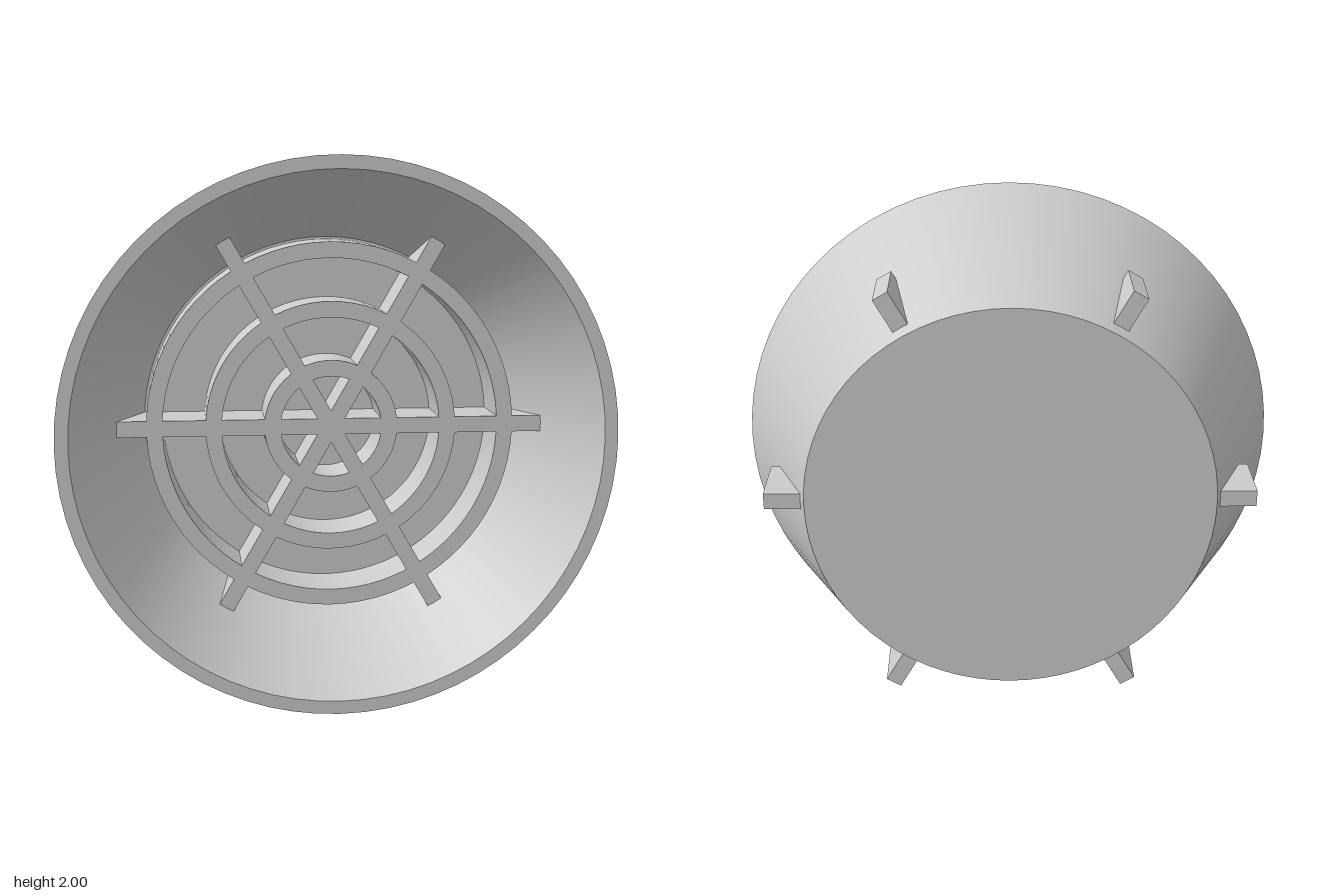
import * as THREE from 'three';
import { toCreasedNormals } from 'three/addons/utils/BufferGeometryUtils.js';

const HALF_DEPTH = 0.313; // bowl runs from -z (closed) to +z (open)
const FLOOR = -0.272;     // inside floor, where the grille stands
const GRILLE_FRONT = -0.04;
const HALF_BAR = 0.03;    // half the spoke width
const STEP = Math.PI / 3; // six spokes

// Points along a circle of radius r between two spokes, clear of their sides
function arcPoints(r, spoke, segments) {
  const inset = Math.asin(HALF_BAR / r);
  const from = spoke * STEP + inset, to = (spoke + 1) * STEP - inset;
  const points = [];
  for (let i = 0; i <= segments; i++) {
    const a = from + (to - from) * i / segments;
    points.push(new THREE.Vector2(r * Math.cos(a), r * Math.sin(a)));
  }
  return points;
}

// Tapered bowl with a flat floor, open to the front
function bowlGeometry() {
  const profile = [
    [0, -HALF_DEPTH], [0.732, -HALF_DEPTH], [1, HALF_DEPTH],
    [0.952, HALF_DEPTH], [0.7, FLOOR], [0, FLOOR],
  ].map(([r, z]) => new THREE.Vector2(r, z));
  const geometry = new THREE.LatheGeometry(profile, 72);
  geometry.rotateX(Math.PI / 2);
  return toCreasedNormals(geometry, 0.5);
}

// Three concentric rings joined by six spokes that pierce the bowl wall
function grilleGeometry() {
  const outline = [];
  for (let k = 0; k < 6; k++) {
    const along = new THREE.Vector2(Math.cos(k * STEP), Math.sin(k * STEP));
    const across = new THREE.Vector2(-along.y, along.x);
    for (const side of [-HALF_BAR, HALF_BAR]) {
      outline.push(along.clone().multiplyScalar(0.88).addScaledVector(across, side));
    }
    outline.push(...arcPoints(0.69, k, 12));
  }
  const shape = new THREE.Shape(outline);

  for (let k = 0; k < 6; k++) {
    // Wedge opening at the hub
    const mid = (k + 0.5) * STEP, tip = HALF_BAR / Math.sin(STEP / 2);
    const corner = new THREE.Vector2(tip * Math.cos(mid), tip * Math.sin(mid));
    shape.holes.push(new THREE.Path([corner, ...arcPoints(0.19, k, 6)]));
    // Openings between neighbouring rings
    for (const [inner, outer] of [[0.25, 0.41], [0.47, 0.63]]) {
      shape.holes.push(new THREE.Path([
        ...arcPoints(outer, k, 12), ...arcPoints(inner, k, 12).reverse(),
      ]));
    }
  }
  const geometry = new THREE.ExtrudeGeometry(shape, {
    depth: GRILLE_FRONT - FLOOR, bevelEnabled: false,
  });
  geometry.translate(0, 0, FLOOR);
  return toCreasedNormals(geometry, 0.5);
}

export function createModel() {
  const model = new THREE.Group();
  model.name = 'bowlWithGrille';
  const material = new THREE.MeshStandardMaterial({ color: 0xcccccc });
  const parts = { bowl: bowlGeometry(), ringAndSpokeGrille: grilleGeometry() };
  for (const [name, geometry] of Object.entries(parts)) {
    const mesh = new THREE.Mesh(geometry, material);
    mesh.name = name;
    mesh.position.y = 1;
    model.add(mesh);
  }
  return model;
}
